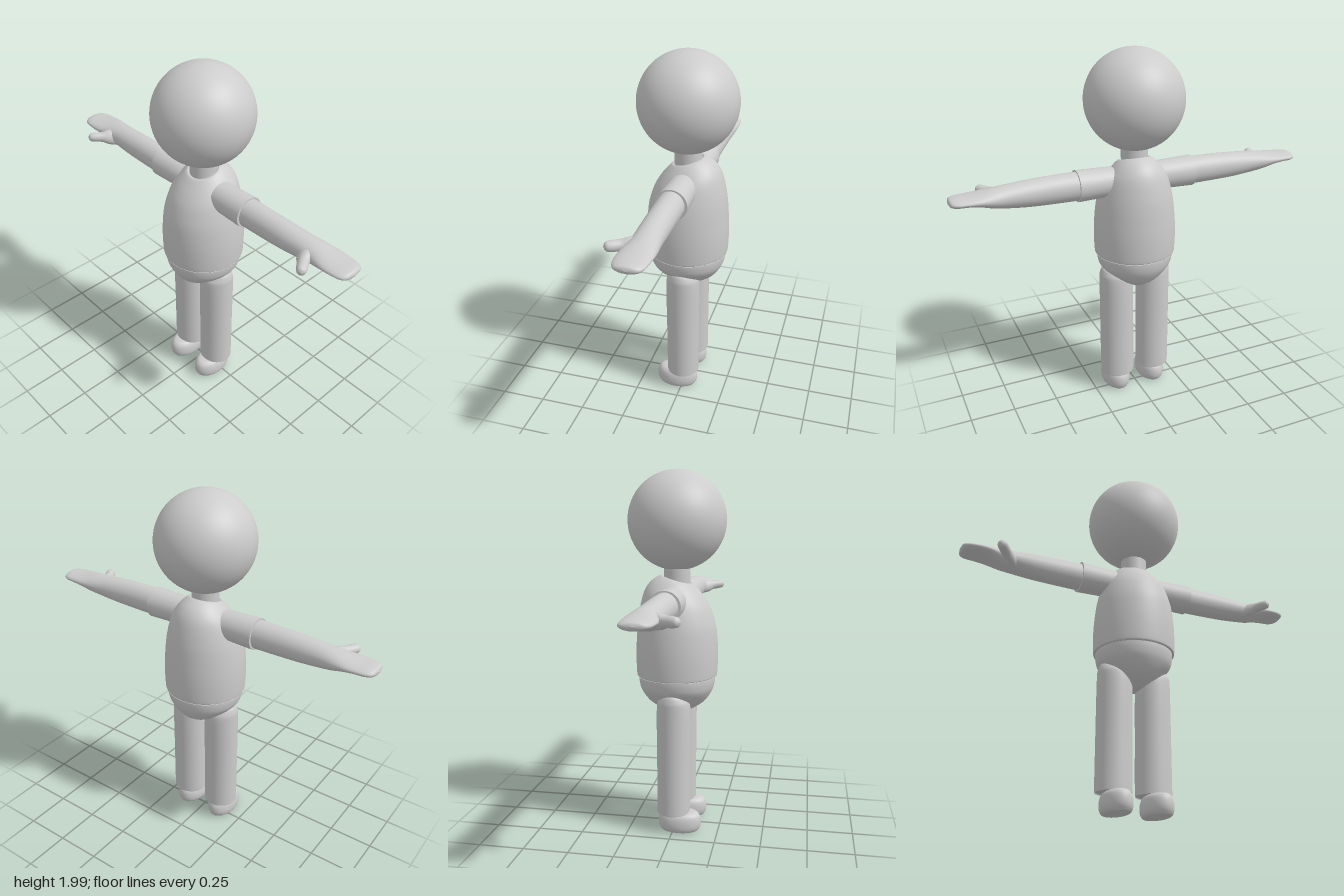
import * as THREE from 'three';

// Smooth vertical loft; each ring is [y, rx, rz, cx, cz], listed bottom to top
function loft(rings, n = 40, steps = 5) {
  const curve = (f) => new THREE.CatmullRomCurve3(rings.map(f), false, 'catmullrom', 0.5);
  const size = curve(([y, rx, rz]) => new THREE.Vector3(rx, y, rz));
  const mid = curve(([, , , cx = 0, cz = 0]) => new THREE.Vector3(cx, 0, cz));
  const m = (rings.length - 1) * steps;
  const pos = [], idx = [];
  for (let i = 0; i <= m; i++) {
    const s = size.getPoint(i / m), c = mid.getPoint(i / m);
    const rx = Math.max(s.x, 0.0005), rz = Math.max(s.z, 0.0005);
    for (let j = 0; j < n; j++) {
      const a = (j / n) * Math.PI * 2;
      pos.push(c.x + rx * Math.cos(a), s.y, c.z + rz * Math.sin(a));
      if (i < m) {
        const p = i * n + j, q = i * n + ((j + 1) % n);
        idx.push(p, p + n, q, q, p + n, q + n);
      }
    }
  }
  const g = new THREE.BufferGeometry();
  g.setAttribute('position', new THREE.Float32BufferAttribute(pos, 3));
  g.setIndex(idx);
  g.computeVertexNormals();
  return g;
}

export function createModel() {
  const model = new THREE.Group();
  const grey = new THREE.MeshStandardMaterial({ color: 0xcccccc });
  grey.name = 'lightGrey';

  const add = (name, geometry, x = 0, y = 0, z = 0) => {
    const mesh = new THREE.Mesh(geometry, grey);
    mesh.name = name;
    mesh.position.set(x, y, z);
    model.add(mesh);
    return mesh;
  };

  // Head and neck
  add('head', new THREE.SphereGeometry(0.267, 64, 48), 0, 1.733, 0);
  add('neck', new THREE.CylinderGeometry(0.073, 0.073, 0.17, 40), 0, 1.425, 0);

  // Shirt, with the neckline tilted down towards the front
  const shirt = loft([
    [0.885, 0, 0], [0.882, 0.2, 0.2], [0.884, 0.219, 0.217], [0.9, 0.224, 0.224],
    [1.0, 0.226, 0.227], [1.1, 0.22, 0.223], [1.2, 0.206, 0.212], [1.3, 0.178, 0.185],
    [1.36, 0.142, 0.15], [1.4, 0.108, 0.11], [1.417, 0.085, 0.085], [1.412, 0.07, 0.07], [1.412, 0, 0],
  ], 56);
  const p = shirt.attributes.position;
  for (let i = 0; i < p.count; i++) {
    const t = THREE.MathUtils.smoothstep(p.getY(i), 1.05, 1.4);
    p.setY(i, p.getY(i) - 0.28 * t * p.getZ(i));
  }
  shirt.computeVertexNormals();
  add('shirt', shirt);

  // Hips taper to a point across the width and stay round in profile
  add('hips', loft([
    [0.67, 0, 0], [0.677, 0.035, 0.05], [0.7, 0.075, 0.1], [0.74, 0.13, 0.157],
    [0.8, 0.192, 0.197], [0.85, 0.21, 0.211], [0.9, 0.212, 0.213],
  ], 56));

  for (const s of [1, -1]) {
    const side = s > 0 ? 'left' : 'right';

    // Leg and foot
    add(side + 'Leg', loft([
      [0.118, 0, 0], [0.118, 0.08, 0.075], [0.123, 0.094, 0.089], [0.14, 0.097, 0.092],
      [0.4, 0.097, 0.092], [0.7, 0.096, 0.093], [0.77, 0.092, 0.08], [0.805, 0.07, 0.045], [0.813, 0, 0],
    ]), s * 0.112, 0, 0);
    add(side + 'Foot', loft([
      [0.006, 0, 0], [0.006, 0.055, 0.09], [0.018, 0.073, 0.11], [0.045, 0.079, 0.12],
      [0.08, 0.076, 0.119], [0.105, 0.066, 0.107], [0.118, 0.045, 0.08], [0.12, 0, 0],
    ]), s * 0.112, 0, 0.035);

    // Short sleeve
    const sleeve = new THREE.CylinderGeometry(0.079, 0.085, 0.205, 40);
    sleeve.rotateZ(s * Math.PI / 2);
    add(side + 'Sleeve', sleeve, s * 0.2325, 1.305, -0.005);

    // Arm running into a flat mitten hand
    const arm = loft([
      [0.18, 0.076, 0.07, 0, -0.005], [0.34, 0.077, 0.071, 0, -0.005],
      [0.48, 0.075, 0.07, 0, -0.005], [0.6, 0.07, 0.07, 0, -0.006],
      [0.7, 0.061, 0.07, 0.002, -0.009], [0.78, 0.05, 0.075, 0.005, -0.012],
      [0.85, 0.034, 0.083, 0.01, -0.009], [0.91, 0.026, 0.082, 0.011, -0.007],
      [0.96, 0.024, 0.075, 0.01, -0.007], [0.99, 0.018, 0.053, 0.01, -0.007], [1, 0, 0, 0.01, -0.007],
    ].map(([y, rx, rz, cy, cz]) => [y, rx, rz, -s * cy, cz]));
    arm.rotateZ(-s * Math.PI / 2);
    add(side + 'Arm', arm, 0, 1.305, 0);

    // Thumb pointing forward and outward
    const thumb = add(side + 'Thumb', loft([
      [-0.03, 0.035, 0.05], [0.03, 0.032, 0.043], [0.07, 0.028, 0.029],
      [0.115, 0.027, 0.026], [0.14, 0.02, 0.02], [0.15, 0, 0],
    ], 24), s * 0.74, 1.302, 0.035);
    thumb.quaternion.setFromUnitVectors(
      new THREE.Vector3(0, 1, 0), new THREE.Vector3(s * 0.55, 0.06, 0.83).normalize());
  }
  return model;
}
